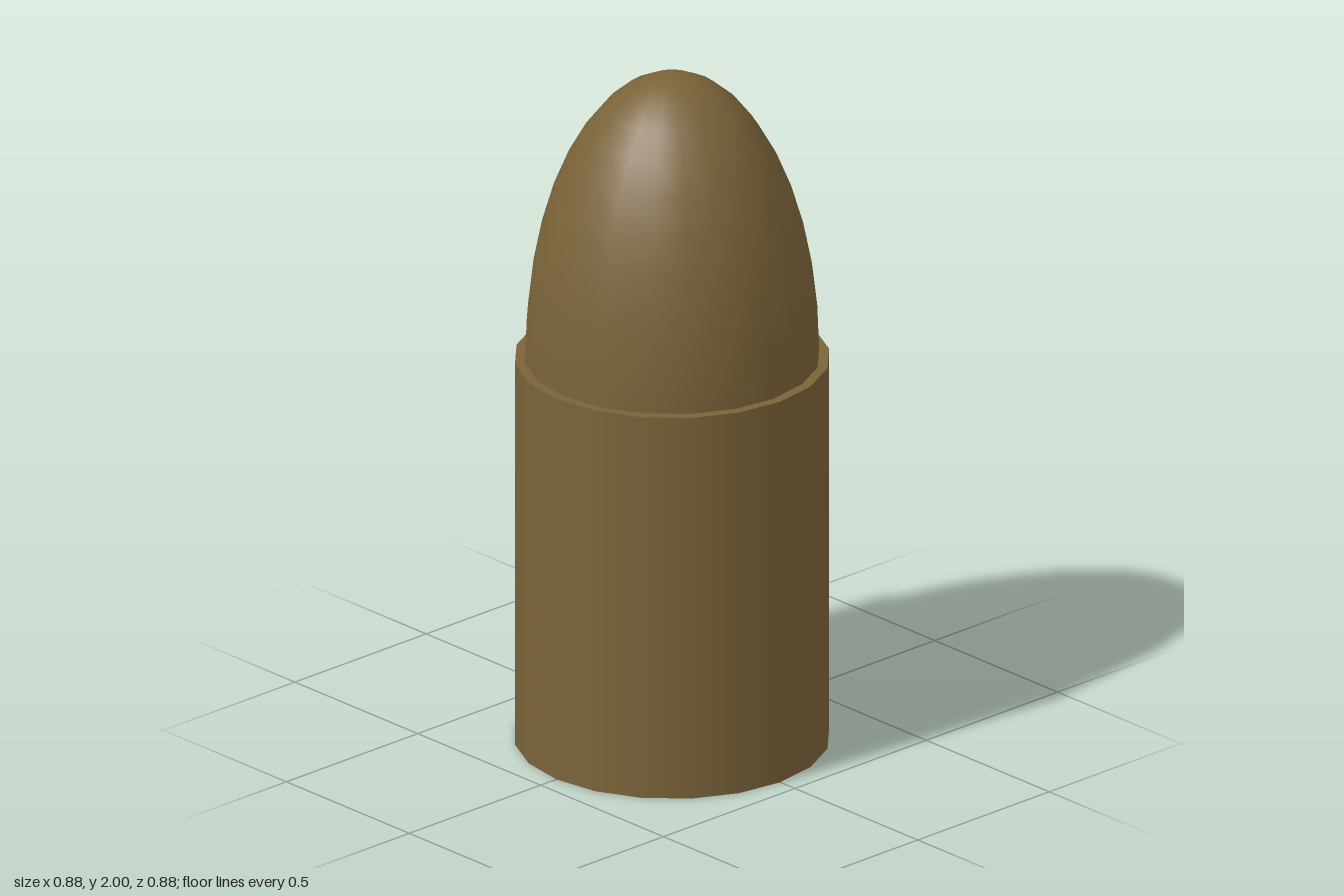
import * as THREE from 'three';

const SIDES = 20;
const CASE_RADIUS = 0.44;
const CASE_HEIGHT = 1.15;
const TIP_RADIUS = 0.412;
const TIP_HEIGHT = 0.85;

export function createModel() {
  const group = new THREE.Group();
  group.name = 'cartridge';
  const brass = new THREE.MeshStandardMaterial({ color: 0x7a6339 });

  // Straight casing, closed at both ends
  const casing = new THREE.Mesh(
    new THREE.CylinderGeometry(CASE_RADIUS, CASE_RADIUS, CASE_HEIGHT, SIDES),
    brass
  );
  casing.name = 'casing';
  casing.position.y = CASE_HEIGHT / 2;
  group.add(casing);

  // Stretched half sphere seated on the casing
  const dome = new THREE.SphereGeometry(1, SIDES, 10, 0, Math.PI * 2, 0, Math.PI / 2);
  dome.scale(TIP_RADIUS, TIP_HEIGHT, TIP_RADIUS);
  const tip = new THREE.Mesh(dome, brass);
  tip.name = 'tip';
  tip.position.y = CASE_HEIGHT;
  group.add(tip);

  return group;
}
